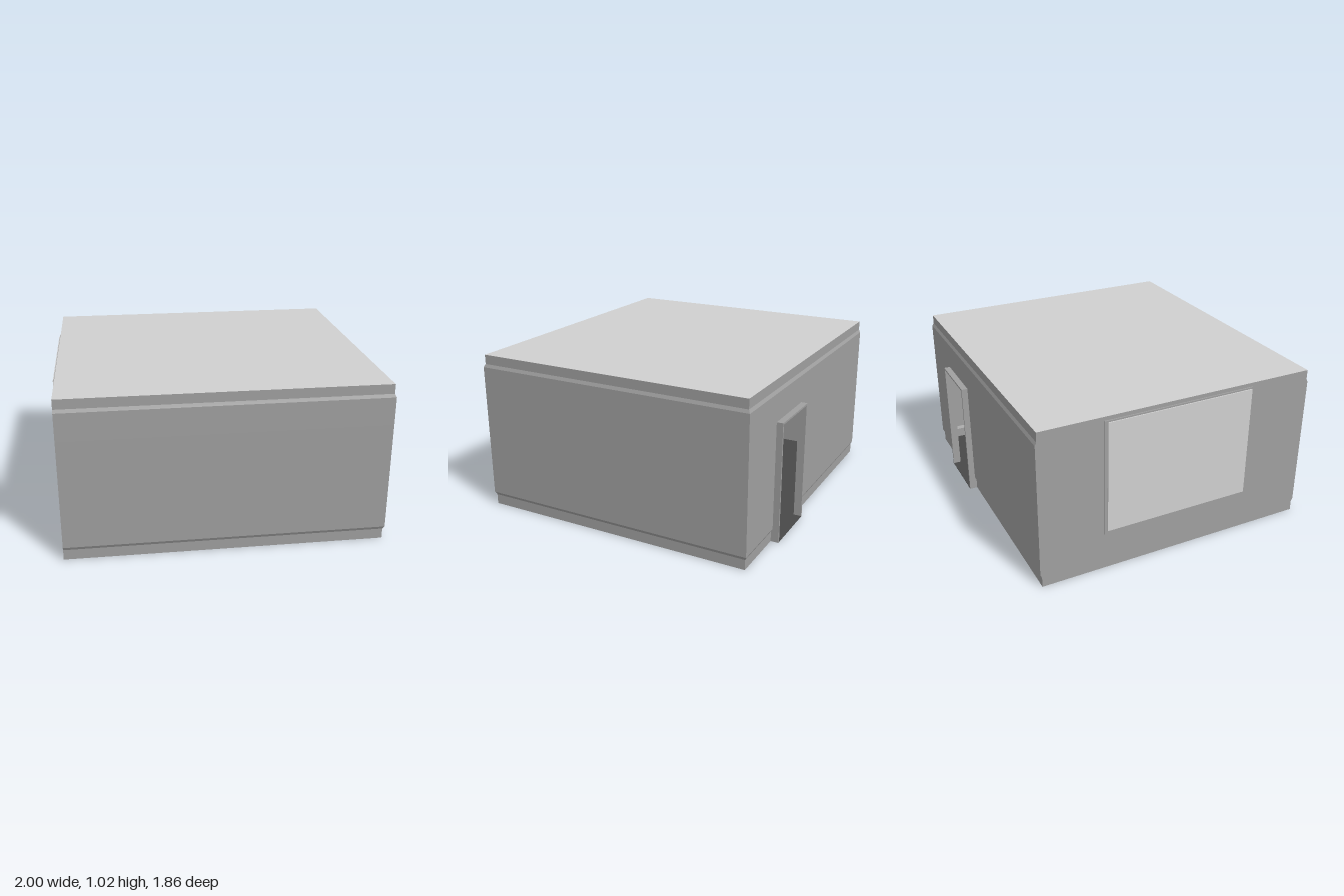
import * as THREE from 'three';

export function createModel() {
  const room = new THREE.Group();
  room.name = 'room';
  const paint = (name, color) => {
    const m = new THREE.MeshStandardMaterial({ color, side: THREE.DoubleSide });
    m.name = name;
    return m;
  };
  const wallGrey = paint('wall grey', 0xa0a0a0);
  const paleGrey = paint('pale grey', 0xd0d0d0);
  const floorGrey = paint('dark floor grey', 0x484848);

  const LEFT = -0.985, RIGHT = 0.998, FRONT = 0.93, BACK = -0.89;
  const DOOR = { x0: 0.212, x1: 0.61, top: 0.77, z: -0.93 };
  const INSET = 0.01, TOP = 1.025;

  const add = (name, geometry, material = wallGrey) => {
    const mesh = new THREE.Mesh(geometry, material);
    mesh.name = name;
    room.add(mesh);
    return mesh;
  };

  // Wall profile as [height, inset]: skirting, plain wall, crown moulding
  const lower = [[0, INSET], [0.065, INSET], [0.085, 0], [DOOR.top, 0]];
  const upper = [[DOOR.top, 0], [0.945, 0], [0.965, INSET], [TOP, INSET]];

  // Sweep a profile along a path of [x, z] points given for each inset
  function sweep(profile, path) {
    const pos = [];
    for (let i = 0; i < profile.length - 1; i++) {
      const [y0, o0] = profile[i], [y1, o1] = profile[i + 1];
      const a = path(o0), b = path(o1);
      for (let j = 0; j < a.length - 1; j++) {
        const p = [a[j][0], y0, a[j][1]], q = [a[j + 1][0], y0, a[j + 1][1]];
        const r = [b[j + 1][0], y1, b[j + 1][1]], s = [b[j][0], y1, b[j][1]];
        pos.push(...p, ...q, ...r, ...p, ...r, ...s);
      }
    }
    const g = new THREE.BufferGeometry();
    g.setAttribute('position', new THREE.Float32BufferAttribute(pos, 3));
    g.computeVertexNormals();
    return g;
  }

  // Front, right and back walls, leaving the doorway open below its head
  const bend = (o) => [[LEFT, FRONT - o], [RIGHT - o, FRONT - o], [RIGHT - o, BACK + o]];
  add('lowerWalls', sweep(lower, (o) => [...bend(o), [DOOR.x1, BACK + o]]));
  add('backWallBesideDoor', sweep(lower, (o) => [[DOOR.x0, BACK + o], [LEFT, BACK + o]]));
  add('upperWalls', sweep(upper, (o) => [...bend(o), [LEFT, BACK + o]]));

  // Flat side wall with a window opening
  const rect = (T, z0, y0, z1, y1) => {
    const s = new T();
    s.moveTo(z0, y0);
    s.lineTo(z1, y0);
    s.lineTo(z1, y1);
    s.lineTo(z0, y1);
    s.closePath();
    return s;
  };
  const profile = [...lower, ...upper.slice(1)];
  const sideShape = new THREE.Shape([
    ...profile.map(([y, o]) => new THREE.Vector2(FRONT - o, y)),
    ...[...profile].reverse().map(([y, o]) => new THREE.Vector2(BACK + o, y)),
  ]);
  sideShape.holes.push(rect(THREE.Path, -0.45, 0.275, 0.485, 0.975));
  const side = add('windowWall', new THREE.ShapeGeometry(sideShape));
  side.rotation.y = -Math.PI / 2;
  side.position.x = LEFT;

  // Window frame and pane
  const frameShape = rect(THREE.Shape, -0.48, 0.245, 0.51, 1.0);
  frameShape.holes.push(rect(THREE.Path, -0.45, 0.275, 0.485, 0.975));
  const frame = add('windowFrame', new THREE.ExtrudeGeometry(frameShape, { depth: 0.008, bevelEnabled: false }));
  frame.rotation.y = -Math.PI / 2;
  frame.position.x = LEFT;
  const pane = add('windowPane', new THREE.BoxGeometry(0.009, 0.72, 0.96), paleGrey);
  pane.position.set(-0.9955, 0.63, 0.02);

  // Floor and ceiling
  const depth = FRONT - BACK - 2 * INSET, width = RIGHT - INSET - LEFT;
  for (const [name, y, turn, material] of [['floor', 0, 1, floorGrey], ['ceiling', TOP, -1, paleGrey]]) {
    const slab = add(name, new THREE.PlaneGeometry(width, depth), material);
    slab.rotation.x = turn * Math.PI / 2;
    slab.position.set((LEFT + RIGHT - INSET) / 2, y, (FRONT + BACK) / 2);
  }

  // Projecting door frame: two jambs, a head and a sill
  const t = 0.012, zLen = BACK + INSET - DOOR.z, zMid = DOOR.z + zLen / 2;
  for (const x of [DOOR.x0 + t / 2, DOOR.x1 - t / 2]) {
    add('doorJamb', new THREE.BoxGeometry(t, DOOR.top, zLen)).position.set(x, DOOR.top / 2, zMid);
  }
  const xMid = (DOOR.x0 + DOOR.x1) / 2, span = DOOR.x1 - DOOR.x0 - 2 * t;
  add('doorHead', new THREE.BoxGeometry(span, t, zLen)).position.set(xMid, DOOR.top - t / 2, zMid);
  add('doorSill', new THREE.BoxGeometry(span, 0.004, zLen), floorGrey).position.set(xMid, 0.002, zMid);

  return room;
}
